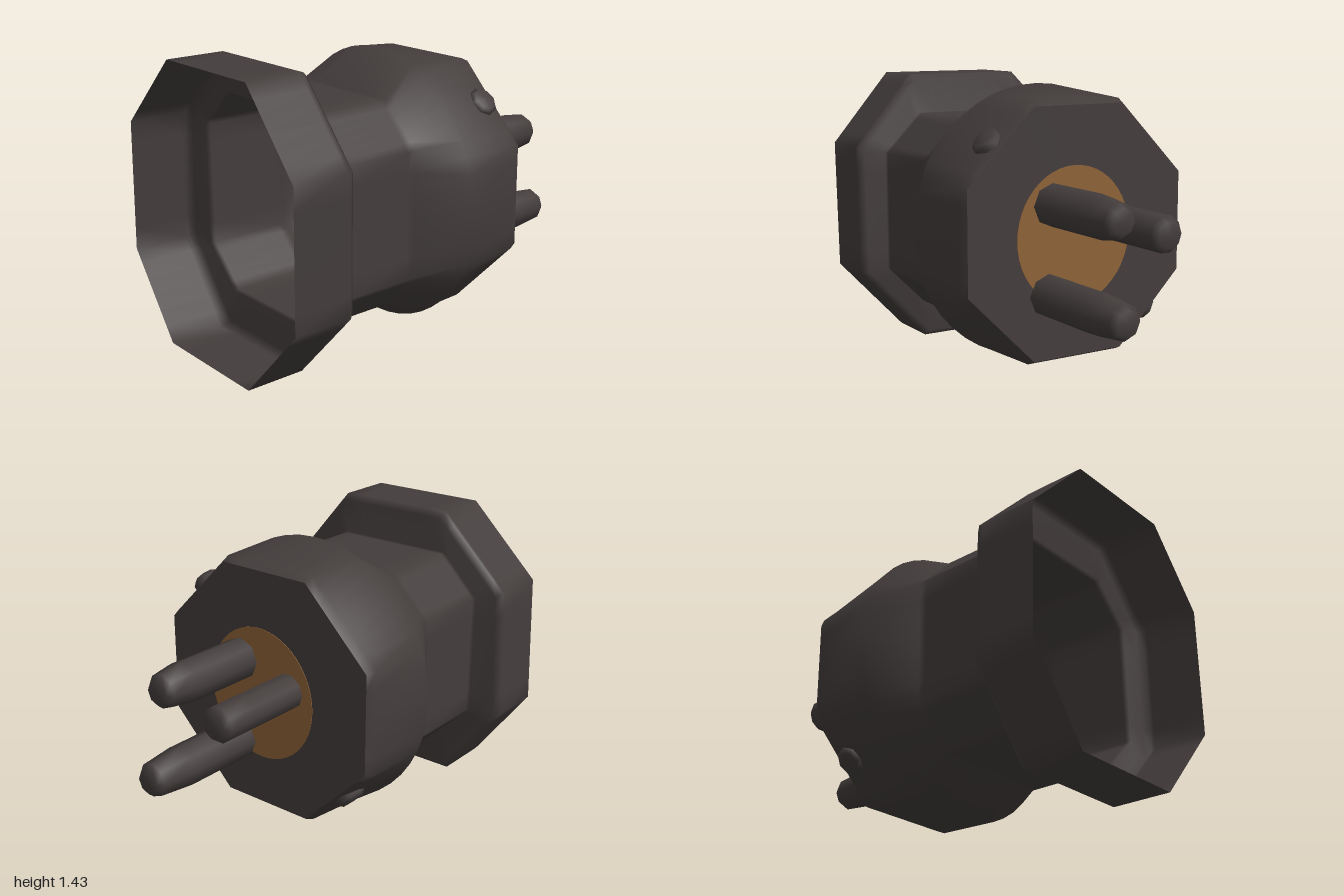
import * as THREE from 'three';

const AXIS_Y = 0.718; // height of the plug's long axis
const PER_SIDE = 6;   // points along each side of an eight-sided ring

// Skin a list of rings that follow the x axis; each ring is { x, pts: [[y, z], ...] }
function loft(rings) {
  const n = rings[0].pts.length, pos = [], index = [];
  for (const r of rings) for (const [y, z] of r.pts) pos.push(r.x, y, z);
  for (let i = 0; i < rings.length - 1; i++) {
    for (let j = 0; j < n; j++) {
      const a = i * n + j, b = i * n + (j + 1) % n;
      index.push(a, b, a + n, b, b + n, a + n);
    }
  }
  const g = new THREE.BufferGeometry();
  g.setAttribute('position', new THREE.Float32BufferAttribute(pos, 3));
  g.setIndex(index);
  g.computeVertexNormals();
  return g;
}

// Eight-sided ring from its corners, with extra points along each side
function polyRing(x, corners, s = 1) {
  const pts = [];
  corners.forEach(([y, z], i) => {
    const [y2, z2] = corners[(i + 1) % corners.length];
    for (let k = 0; k < PER_SIDE; k++) {
      const t = k / PER_SIDE;
      pts.push([(y + (y2 - y) * t) * s, (z + (z2 - z) * t) * s]);
    }
  });
  return { x, pts };
}

// Octagon corners: flats at distance a on the y and z axes, each of half width w
const octagon = (a, w) => [[a, -w], [a, w], [w, a], [-w, a], [-a, w], [-a, -w], [-w, -a], [w, -a]];
const regular = (a) => octagon(a, a * Math.tan(Math.PI / 8));

// Round ring with points matching those of the eight-sided rings
function roundRing(x, r) {
  const ring = polyRing(x, regular(1));
  ring.pts = ring.pts.map(([y, z]) => [y * r / Math.hypot(y, z), z * r / Math.hypot(y, z)]);
  return ring;
}

export function createModel() {
  const model = new THREE.Group();
  const dark = new THREE.MeshStandardMaterial({ color: 0x433d3c, side: THREE.DoubleSide });
  dark.name = 'dark rubber';
  const brown = new THREE.MeshStandardMaterial({ color: 0x8d6238 });
  brown.name = 'brown insulator';

  const add = (name, geometry, material, x = 0, y = 0, z = 0) => {
    const m = new THREE.Mesh(geometry, material);
    m.name = name;
    m.position.set(x, y, z);
    model.add(m);
    return m;
  };

  // One hollow shell: eight-sided flange open at the back, neck with broad flats,
  // round shoulder and octagonal nose
  const rim = [[0.712, -0.28], [0.712, 0.34], [0.342, 0.655], [-0.328, 0.645],
    [-0.716, 0.28], [-0.716, -0.37], [-0.308, -0.675], [0.352, -0.65]];
  const neck = octagon(0.51, 0.31);
  add('housing', loft([
    polyRing(-1, rim), polyRing(-0.72, rim), polyRing(-0.7, rim), polyRing(-0.67, rim, 0.96),
    polyRing(-0.67, neck), polyRing(-0.64, neck), polyRing(-0.25, neck), polyRing(-0.21, neck),
    roundRing(0, 0.688), polyRing(0.33, regular(0.625)), polyRing(0.375, regular(0.605)),
  ]), dark, 0, AXIS_Y);
  add('noseFace', loft([polyRing(0.375, regular(0.605)), roundRing(0.375, 0.0005)]), dark, 0, AXIS_Y);

  // Insulator disc on the nose
  const disc = new THREE.CylinderGeometry(0.337, 0.337, 0.006, 48);
  disc.rotateZ(-Math.PI / 2);
  add('insulatorDisc', disc, brown, 0.375, 0.703, 0.025).scale.z = 0.95;

  // Contact pins: two thick tapered ones and one thin straight one
  const pins = [
    { name: 'upperPin', y: 0.86, z: 0.15, r: 0.104, tip: 0.085, taper: 0.77, end: 0.93, sides: 8 },
    { name: 'lowerPin', y: 0.43, z: 0.17, r: 0.104, tip: 0.085, taper: 0.79, end: 1.0, sides: 8 },
    { name: 'thinPin', y: 0.765, z: -0.147, r: 0.088, tip: 0.088, taper: 0.7, end: 0.88, sides: 10 },
  ];
  for (const p of pins) {
    const profile = [[p.r, 0.36], [p.r, p.taper], [p.tip, p.end - 0.03], [p.tip - 0.025, p.end], [0, p.end]]
      .map(([r, h]) => new THREE.Vector2(r, h));
    const g = new THREE.LatheGeometry(profile, p.sides);
    g.rotateZ(-Math.PI / 2);
    add(p.name, g, dark, 0, p.y, p.z);
  }

  // Two rounded studs on opposite slanted sides of the nose
  for (const side of [1, -1]) {
    const profile = [[0.075, -0.05], [0.075, 0.015], [0.055, 0.035], [0, 0.038]]
      .map(([r, h]) => new THREE.Vector2(r, h));
    const stud = add(side > 0 ? 'upperStud' : 'lowerStud',
      new THREE.LatheGeometry(profile, 8), dark, 0.28, AXIS_Y + side * 0.442, side * 0.445);
    stud.rotation.x = side > 0 ? Math.PI / 4 : -Math.PI * 0.75;
  }
  return model;
}
